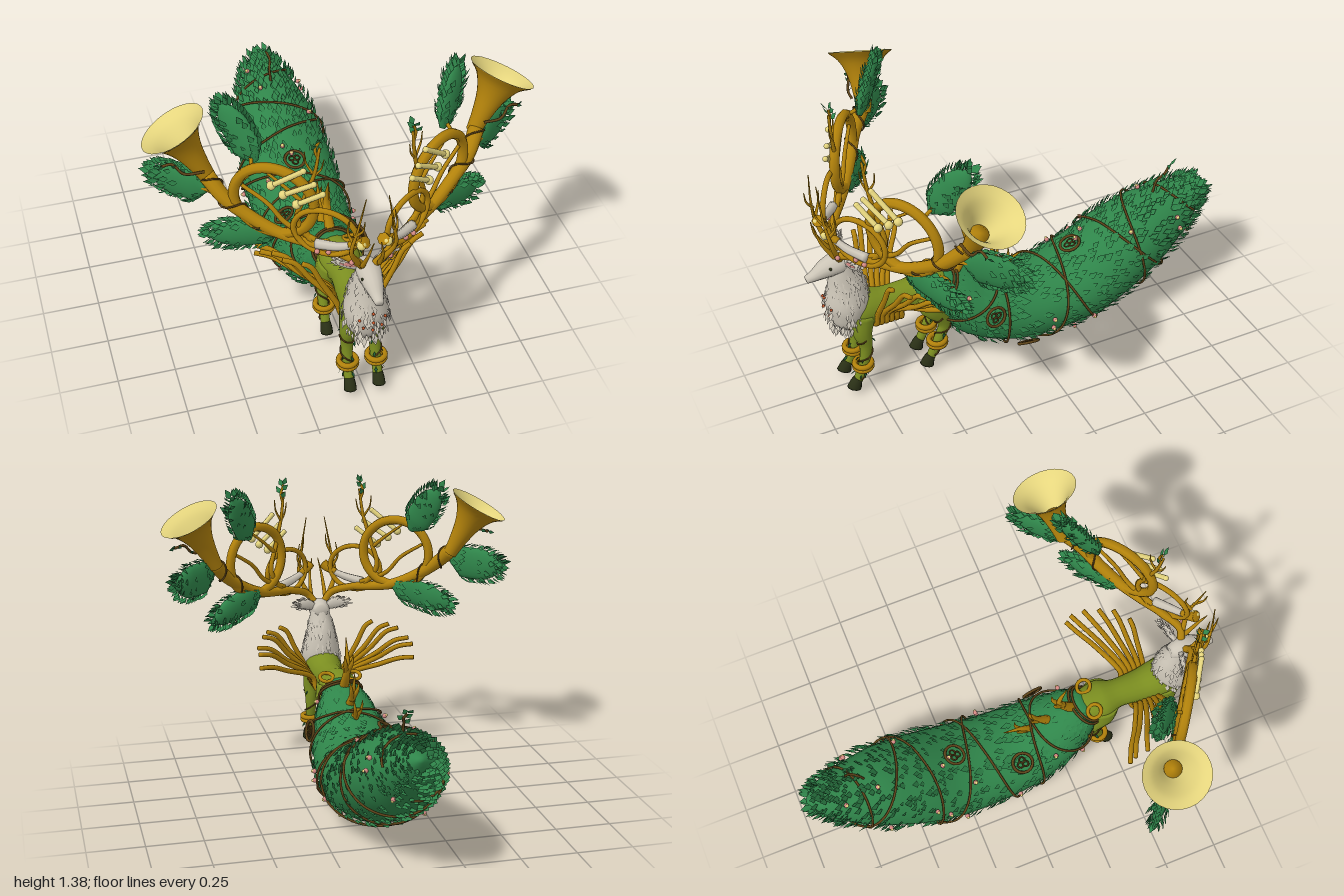
import * as THREE from 'three';
import { mergeGeometries } from 'three/addons/utils/BufferGeometryUtils.js';

const V = (x, y, z) => new THREE.Vector3(x, y, z);
const X = V(1, 0, 0), HORN_NORMAL = V(0.65, 0, 1).normalize();
const mat = (name, color, double) => {
  const m = new THREE.MeshStandardMaterial({ color });
  m.name = name;
  if (double) m.side = THREE.DoubleSide;
  return m;
};
let seed = 7;
const rnd = () => (seed = (seed * 16807) % 2147483647) / 2147483647;

// Surface swept along rows of [x, y, z, radiusU, radiusV]
function surface(rows, ref = X) {
  const path = new THREE.CatmullRomCurve3(rows.map(r => V(r[0], r[1], r[2])));
  const radii = new THREE.CatmullRomCurve3(rows.map(r => V(r[3], r[4] ?? r[3], 0)));
  return (t, a) => {
    const c = path.getPoint(t), r = radii.getPoint(t), T = path.getTangent(t);
    const ru = Math.max(r.x, 0.001), rv = Math.max(r.y, 0.001);
    const U = ref.clone().addScaledVector(T, -ref.dot(T)).normalize(), W = T.clone().cross(U);
    const p = c.clone().addScaledVector(U, Math.cos(a) * ru).addScaledVector(W, Math.sin(a) * rv);
    const n = U.multiplyScalar(Math.cos(a) / ru).addScaledVector(W, Math.sin(a) / rv).normalize();
    return { p, n, T, c };
  };
}

function loft(surf, rings = 24, sides = 14) {
  const pos = [], idx = [];
  for (let i = 0; i <= rings; i++)
    for (let j = 0; j < sides; j++) pos.push(...surf(i / rings, (j / sides) * Math.PI * 2).p);
  const c0 = pos.length / 3;
  pos.push(...surf(0, 0).c, ...surf(1, 0).c);
  for (let j = 0; j < sides; j++) {
    const k = (j + 1) % sides, e = rings * sides;
    for (let i = 0; i < rings; i++) {
      const a = i * sides + j, b = i * sides + k;
      idx.push(a, b, a + sides, b, b + sides, a + sides);
    }
    idx.push(c0, k, j, c0 + 1, e + j, e + k);
  }
  return build(pos, idx);
}
function build(pos, idx) {
  const g = new THREE.BufferGeometry();
  g.setAttribute('position', new THREE.Float32BufferAttribute(pos, 3));
  g.setIndex(idx);
  g.computeVertexNormals();
  return g;
}

// Pointed leaflets; each is { p, n, T, len }
function leaflets(list, lift = 0.45, wide = 0.24) {
  const pos = [], idx = [];
  for (const { p, n, T, len } of list) {
    const side = T.clone().cross(n).normalize(), b = pos.length / 3;
    const tip = p.clone().addScaledVector(T, len * 0.85).addScaledVector(n, len * lift);
    const mid = p.clone().lerp(tip, 0.4).addScaledVector(n, len * 0.08);
    const l = mid.clone().addScaledVector(side, len * wide), r = mid.clone().addScaledVector(side, -len * wide);
    pos.push(...p, ...l, ...tip, ...r);
    idx.push(b, b + 2, b + 1, b, b + 3, b + 2);
  }
  return build(pos, idx);
}
const scatter = (surf, count, len, t0 = 0.01, t1 = 0.97) => Array.from({ length: count }, () =>
  ({ ...surf(t0 + (t1 - t0) * rnd(), rnd() * Math.PI * 2), len: len * (0.7 + 0.6 * rnd()) }));

const tube = (pts, r, seg = 24, closed = false) =>
  new THREE.TubeGeometry(new THREE.CatmullRomCurve3(pts, closed), seg, r, 7, closed);
const vineOn = (surf, t0, t1, turns, phase, off, r, seg = 120) => tube(Array.from({ length: seg / 2 }, (_, i) => {
  const f = i / (seg / 2 - 1), s = surf(t0 + (t1 - t0) * f, phase + f * turns * Math.PI * 2);
  return s.p.addScaledVector(s.n, off);
}), r, seg);
const ball = (p, r) => new THREE.SphereGeometry(r, 10, 8).translate(p.x, p.y, p.z);
const taper = (pts, r0, r1, seg = 14) =>
  loft(surface(pts.map((p, i) => [p.x, p.y, p.z, r0 + (r1 - r0) * i / (pts.length - 1)]), V(0.3, 0.1, 1)), seg, 7);
// Point in the slanted plane of one horn
const H = (x, y, d = 0) => V(x, y, 0.89 - 0.65 * x + d);

// Copy of a group reflected across x = 0
function mirrored(group) {
  const out = new THREE.Group();
  out.name = group.name.replace('left', 'right');
  for (const m of group.children) {
    const g = m.geometry.clone().scale(-1, 1, 1), ix = g.index.array;
    for (let i = 0; i < ix.length; i += 3) [ix[i], ix[i + 1]] = [ix[i + 1], ix[i]];
    const c = new THREE.Mesh(g, m.material);
    c.name = m.name;
    out.add(c);
  }
  return out;
}

export function createModel() {
  const M = {
    leaf: mat('leafGreen', 0x2f854a, true), dark: mat('deepGreen', 0x1d5a34, true), olive: mat('olive', 0x7b8e20),
    hoof: mat('hoofDark', 0x2a3016), fur: mat('paleFur', 0xcbc4b6, true), gold: mat('gold', 0xb2820b),
    cream: mat('cream', 0xe6d67e, true), vine: mat('vineBrown', 0x5c4218), pink: mat('pink', 0xd58a84), red: mat('rust', 0xc2562a),
  };
  const model = new THREE.Group(), left = new THREE.Group();
  left.name = 'leftSide';
  const add = (parent, name, geos, material) => {
    const m = new THREE.Mesh(Array.isArray(geos) ? mergeGeometries(geos) : geos, material);
    m.name = name;
    parent.add(m);
  };

  // Leafy tail
  const tail = surface([[0, .45, .41, .065, .055], [0, .38, .34, .118, .11], [0, .27, .22, .172, .155], [0, .2, .05, .202, .162],
    [0, .2, -.15, .217, .167], [0, .24, -.33, .222, .176], [0, .33, -.5, .21, .18], [0, .41, -.65, .182, .169],
    [0, .48, -.79, .132, .119], [0, .535, -.89, .08, .068], [0, .57, -.955, .015, .012]]);
  add(model, 'tail', loft(tail, 40, 28), M.leaf);
  add(model, 'tailLeaves', leaflets(scatter(tail, 1150, .05), .38, .27), M.leaf);
  add(model, 'tailVines', [vineOn(tail, .05, .85, 4, 0, .014, .0055, 240), vineOn(tail, .1, .8, -3, 1.5, .014, .0055, 240),
    vineOn(tail, .02, .05, 2, 0, .012, .006)], M.vine);
  const flowers = Array.from({ length: 26 }, () => tail(.1 + .75 * rnd(), rnd() * 6.28));
  const bloom = (s, r, off) => ball(s.p.clone().addScaledVector(s.n, off), r);
  add(model, 'tailFlowers', flowers.map(s => bloom(s, .011, .018)), M.pink);
  add(model, 'tailFlowerHearts', flowers.map(s => bloom(s, .007, .026)), M.cream);

  // Ring ornaments holding three small hoops
  const rings = [];
  for (const [t, a] of [[.2, -.2], [.32, .8], [.5, -1.57], [.3, -2.2]]) {
    const s = tail(t, a), q = new THREE.Quaternion().setFromUnitVectors(V(0, 0, 1), s.n);
    const place = g => g.applyQuaternion(q).translate(...s.p.clone().addScaledVector(s.n, .022));
    rings.push(place(new THREE.TorusGeometry(.046, .007, 6, 24)));
    for (let i = 0; i < 3; i++) {
      const b = i * 2.094 + .5;
      rings.push(place(new THREE.TorusGeometry(.013, .004, 5, 12).translate(.014 * Math.cos(b), .014 * Math.sin(b), 0)));
    }
  }
  add(model, 'tailRings', rings, M.vine);

  // Thorns along the tail base
  const thorns = [];
  for (const [y0, z0, y1, z1, y2, z2, r] of [[.44, .33, .58, .25, .71, .28, .027], [.4, .21, .49, .14, .585, .11, .024], [.35, .14, .425, .07, .465, -.02, .021]]) {
    thorns.push(taper([V(0, y0, z0), V(0, y1, z1), V(0, y2, z2)], r, .002));
    for (const s of [-1, 1])
      thorns.push(taper([V(0, y1 - .04, z1 + .02), V(s * .015, y1 + .02, z1 - .025), V(s * .02, y1 + .06, z1 - .03)], r * .6, .002));
  }
  add(model, 'thorns', thorns, M.gold);

  // Sprig of stem and leaves
  function sprig(parent, pts, len, stem, leaf) {
    add(parent, 'sprigStem', tube(pts, .006), stem);
    const c = new THREE.CatmullRomCurve3(pts);
    add(parent, 'sprigLeaves', leaflets([.3, .55, .75, .9, 1].map((t, i) => ({
      p: c.getPoint(t), T: c.getTangent(t).addScaledVector(X, i === 4 ? 0 : i % 2 ? .7 : -.7).normalize(), n: V(0, .1, i % 2 ? 1 : -1), len,
    })), .4, .28), leaf);
  }
  sprig(model, [V(0, .58, -.69), V(0, .64, -.71), V(.01, .67, -.74), V(0, .7, -.77)], .045, M.vine, M.leaf);

  // Torso, neck and head
  add(model, 'torso', loft(surface([[0, .42, .85, .05], [0, .42, .77, .088, .09], [0, .41, .66, .074, .075], [0, .42, .55, .066, .068],
    [0, .42, .46, .092, .082], [0, .43, .38, .075, .065], [0, .43, .34, .03]]), 28, 18), M.olive);
  const neck = surface([[0, .72, .83, .04, .04], [0, .65, .825, .055, .062], [0, .57, .815, .073, .085], [0, .48, .82, .093, .095],
    [0, .4, .835, .08, .068], [0, .34, .84, .025, .02]]);
  add(model, 'neck', loft(neck, 24, 18), M.fur);
  add(model, 'neckFur', leaflets(scatter(neck, 200, .045, .15, .97), .28, .2), M.fur);
  add(model, 'head', loft(surface([[0, .7, .78, .03], [0, .7, .84, .052, .05], [0, .685, .9, .043, .042], [0, .663, .955, .026, .024],
    [0, .653, .99, .018, .016]]), 20, 14), M.fur);
  add(model, 'chestStuds', [[.5, 0], [.62, 0], [.74, 0], [.58, .55], [.58, -.55], [.7, .4], [.7, -.4]].map(([t, a]) =>
    bloom(neck(t, Math.PI / 2 + a), .0065, .011)), M.red);
  add(left, 'eye', ball(V(.04, .705, .89), .007), M.hoof);
  const ear = surface([[.03, .715, .82, .01, .016], [.07, .73, .81, .012, .028], [.105, .735, .8, .009, .02], [.13, .74, .79, .003]], V(0, 0, 1));
  add(left, 'ear', loft(ear, 10, 10), M.fur);
  add(left, 'earFur', leaflets(scatter(ear, 40, .03), .3, .2), M.fur);
  add(left, 'innerEar', loft(surface([[.05, .72, .824, .003, .005], [.08, .732, .819, .003, .01], [.11, .735, .808, .003, .003]], V(0, 0, 1)), 8, 8), M.pink);

  // Legs with hooves, bracelets and vines
  const legs = [
    { rows: [[.05, .42, .77, .045, .06], [.06, .34, .78, .038, .045], [.062, .26, .77, .028, .03], [.062, .16, .785, .023], [.064, .07, .82, .021]], hoof: .835, band: .79 },
    { rows: [[.05, .43, .46, .05, .07], [.062, .36, .45, .045, .06], [.064, .29, .41, .032, .038], [.064, .235, .4, .024, .028], [.064, .16, .43, .022], [.064, .07, .472, .021]], hoof: .485, band: .435 },
  ];
  for (const { rows, hoof, band } of legs) {
    const s = surface(rows);
    add(left, 'leg', loft(s, 18, 12), M.olive);
    add(left, 'hoof', loft(surface([[.064, .082, hoof - .018, .022], [.064, .06, hoof - .004, .026, .028], [.064, .036, hoof + .005, .028, .034]]), 6, 10), M.hoof);
    add(left, 'bracelet', [0, .018].map(d => new THREE.TorusGeometry(.038, .012, 8, 20).rotateX(Math.PI / 2).translate(.063, .145 + d, band)), M.gold);
    add(left, 'legVine', vineOn(s, .35, .95, 2, 0, .003, .0035, 60), M.vine);
    add(left, 'legThorns', leaflets(scatter(s, 12, .025, .35, .9), .6, .2), M.dark);
  }
  add(left, 'hipHoop', new THREE.TorusGeometry(.032, .009, 7, 20).rotateX(1.2).translate(.065, .485, .4), M.gold);

  // Fan of pipes sweeping out of the flanks
  add(left, 'flankPipes', [[.23, .66, .69], [.3, .655, .64], [.33, .65, .58], [.365, .615, .52], [.37, .6, .46], [.37, .54, .44]].map(([x, y, z], i) => {
    const b = .715 - .023 * i;
    return taper([V(.01, .332, b), V(.07, .365, b), V(.09, .425, b), V(.08 + (x - .08) * .5, .44 + (y - .44) * .5, b + (z - b) * .45),
      V(.08 + (x - .08) * .78, .44 + (y - .44) * .9, b + (z - b) * .8), V(x, y, z)], .014, .011, 24);
  }), M.gold);

  // Antler branches
  add(left, 'antler', [
    taper([V(.015, .72, .84), H(.06, .775), H(.14, .81), H(.24, .83)], .017, .02),
    taper([H(.05, .765), H(.09, .86, .06), H(.075, .97, .07), H(.045, 1.14, .06)], .013, .002),
    taper([H(.08, .9, .06), H(.1, .95, .05), H(.09, 1.02, .04)], .008, .002),
    taper([H(.08, .95, .065), H(.06, 1, .085), H(.055, 1.05, .09)], .007, .002),
    taper([H(.035, .755), H(.03, .85, .05), H(.015, .93, .06)], .011, .002),
    taper([H(.2, .82), H(.26, .93), H(.23, 1.06), H(.2, 1.18), H(.185, 1.3)], .014, .006, 24),
    taper([H(.19, .84), H(.3, .9), H(.36, .98), H(.45, 1.05)], .012, .008),
    taper([H(.24, 1.02), H(.3, 1.08), H(.38, 1.15)], .01, .005),
    taper([H(.205, 1.17), H(.23, 1.22), H(.235, 1.27)], .006, .002),
    taper([H(.205, 1.16), H(.18, 1.2), H(.17, 1.25)], .006, .002),
  ], M.gold);

  // Coiled horn
  const loop = (cx, cy, rx, ry, r, d) => tube(Array.from({ length: 20 }, (_, i) => {
    const a = i * Math.PI / 10;
    return H(cx + rx * Math.cos(a), cy + ry * Math.sin(a), d);
  }), r, 48, true);
  const R = (x, y, r) => [...H(x, y), r];
  const pipe = surface([R(.16, .815, .018), R(.24, .825, .022), R(.33, .845, .025), R(.43, .9, .027), R(.51, .965, .03), [.565, 1.04, .495, .034]], HORN_NORMAL);
  add(left, 'hornPipe', loft(pipe, 24, 12), M.gold);
  add(left, 'hornLoops', [loop(.34, 1, .138, .16, .022, 0), loop(.17, .905, .108, .108, .012, .02)], M.gold);
  add(left, 'leadPipe', taper([H(.08, .875, .03), H(.13, .855, .03), H(.2, .84, .02)], .015, .022), M.fur);
  add(left, 'mouthpiece', taper([H(.035, .91, .035), H(.055, .89, .03), H(.09, .875, .03)], .026, .015), M.gold);
  add(left, 'mouthpieceCup', ball(H(.053, .897, .048), .02), M.cream);

  // Flared bell
  const mouth = V(.68, 1.26, .445), axis = V(.46, .87, -.16).normalize();
  const bell = (pts) => new THREE.LatheGeometry(new THREE.SplineCurve(pts.map(p => new THREE.Vector2(...p))).getPoints(14), 28)
    .applyQuaternion(new THREE.Quaternion().setFromUnitVectors(V(0, 1, 0), axis)).translate(...mouth);
  add(left, 'bell', bell([[.031, -.27], [.04, -.2], [.06, -.11], [.095, -.04], [.142, 0]]), M.gold);
  add(left, 'bellInside', bell([[.141, .002], [.1, -.03], [.064, -.08], [.036, -.135]]), M.cream);
  add(left, 'bellThroat', loft(surface([[...mouth.clone().addScaledVector(axis, -.2), .035], [...mouth.clone().addScaledVector(axis, -.125), .038]]), 2, 16), M.gold);

  // Valve keys
  const keys = [[.355, 1.1, .245, 1.195], [.315, 1.065, .21, 1.14], [.27, 1.03, .18, 1.1]];
  add(left, 'valveKeys', keys.flatMap(([x, y, u, v]) => [ball(H(x, y, .035), .019), tube([H(x, y, .035), H((x + u) / 2, (y + v) / 2, .032), H(u, v, .028)], .0115, 8), ball(H(u, v, .028), .0125)]), M.cream);

  // Large serrated leaves on the horn
  for (const [a, b, w] of [[V(.385, 1.13, .57), V(.485, 1.345, .44), .065], [V(.57, .985, .51), V(.765, .98, .335), .075], [V(.32, .85, .67), V(.58, .755, .52), .062]]) {
    const row = (t, u, v) => [...a.clone().lerp(b, t), u, v];
    const s = surface([row(0, .01, .015), row(.25, .026, w), row(.6, .028, w), row(.85, .02, w * .65), row(1, .004, .006)], HORN_NORMAL);
    add(left, 'hornLeaf', loft(s, 16, 16), M.leaf);
    const teeth = [1, -1].flatMap(k => Array.from({ length: 16 }, (_, i) => ({ ...s(.08 + .058 * i, k * (Math.PI / 2 + .3 * (rnd() - .5))), len: .05 })));
    add(left, 'hornLeafTeeth', leaflets([...teeth, ...scatter(s, 70, .045)], .42, .28), M.leaf);
  }
  add(left, 'leafStems', [tube([H(.46, 1.06), H(.42, 1.12), V(.4, 1.16, .56)], .008), tube([H(.5, .95), V(.58, .99, .51), V(.63, .98, .46)], .008),
    tube([H(.28, .84), V(.32, .85, .675), V(.4, .82, .63)], .008)], M.gold);
  add(left, 'hornVine', vineOn(pipe, .5, 1, 2, 0, .004, .004, 60), M.vine);
  sprig(left, [H(.19, 1.25), H(.2, 1.29), H(.185, 1.335)], .045, M.gold, M.leaf);
  sprig(left, [V(.58, 1.09, .53), V(.66, 1.09, .52), V(.7, 1.13, .5), V(.745, 1.12, .49)], .03, M.vine, M.dark);
  add(left, 'antlerBuds', [H(.16, .815, .03), H(.2, .81, .035), H(.08, .785, .03)].map(p => ball(p, .011)), M.pink);

  model.add(left, mirrored(left));
  return model;
}
